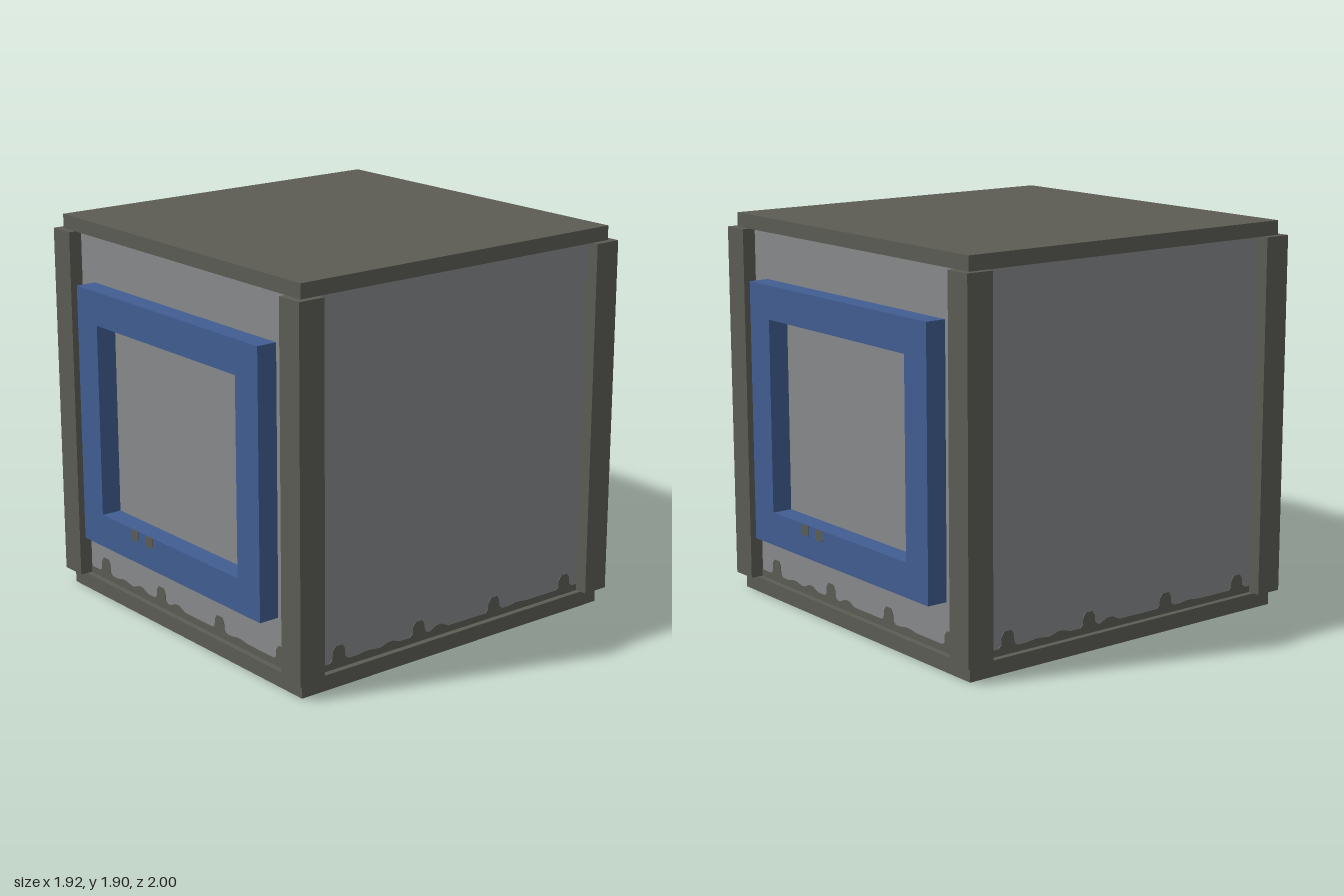
import * as THREE from 'three';

const makeMat = (name, color) => {
  const m = new THREE.MeshStandardMaterial({ color });
  m.name = name;
  return m;
};

export function createModel() {
  const dark = makeMat('darkMetal', 0x5c5c55);
  const panel = makeMat('greyPanel', 0x88898b);
  const blue = makeMat('bluePaint', 0x415d92);
  const model = new THREE.Group();
  model.name = 'crate';

  const add = (parent, name, geo, mat, x = 0, y = 0, z = 0) => {
    const mesh = new THREE.Mesh(geo, mat);
    mesh.name = name;
    mesh.position.set(x, y, z);
    parent.add(mesh);
    return mesh;
  };
  const box = (w, h, d) => new THREE.BoxGeometry(w, h, d);
  const extrude = (shape, depth) =>
    new THREE.ExtrudeGeometry(shape, { depth, bevelEnabled: false });

  // Body, lid and base
  const wall = 0.895;
  add(model, 'body', box(wall * 2, 1.8, wall * 2), panel, 0, 0.955, 0);
  add(model, 'lid', box(1.855, 0.07, 1.855), dark, 0, 1.87, 0);
  add(model, 'base', box(1.855, 0.075, 1.855), dark, 0, 0.0375, 0);

  // Corner posts
  for (const sx of [-1, 1]) {
    for (const sz of [-1, 1]) {
      add(model, 'cornerPost', box(0.138, 1.76, 0.138), dark, sx * 0.893, 0.955, sz * 0.893);
    }
  }

  // Grime line along the bottom of a wall: large rounded blobs and low ripples
  const grimeShape = (ripples) => {
    const s = new THREE.Shape();
    const blobs = [[-0.69, 0.188], [-0.21, 0.181], [0.267, 0.181], [0.738, 0.181]]
      .map(([x, top]) => ({ x, top, blob: true }));
    const low = ripples.map(([x, top]) => ({ x, top, blob: false }));
    const level = 0.108;
    s.moveTo(-0.83, 0.07);
    s.lineTo(-0.83, level);
    for (const { x, top, blob } of [...blobs, ...low].sort((a, b) => a.x - b.x)) {
      const outline = blob
        ? [[-0.055, level], [-0.038, 0.122], [-0.036, top - 0.025], [-0.02, top - 0.003],
          [0.02, top - 0.003], [0.034, top - 0.025], [0.037, 0.122], [0.055, level]]
        : [[-0.06, level], [-0.015, top], [0.015, top], [0.06, level]];
      for (const [dx, y] of outline) s.lineTo(x + dx, y);
    }
    s.lineTo(0.83, level);
    s.lineTo(0.83, 0.07);
    return s;
  };
  const frontGrime = extrude(grimeShape([[-0.53, 0.118], [-0.385, 0.127], [-0.075, 0.128], [0.42, 0.116]]), 0.004);
  const sideGrime = extrude(grimeShape([[-0.52, 0.114], [-0.385, 0.122], [-0.085, 0.129], [0.42, 0.114]]), 0.004);

  // Square window frame
  const frame = new THREE.Shape();
  frame.moveTo(-0.715, 0.313).lineTo(0.715, 0.313).lineTo(0.715, 1.598).lineTo(-0.715, 1.598);
  const hole = new THREE.Path();
  hole.moveTo(-0.55, 0.478).lineTo(-0.55, 1.432).lineTo(0.55, 1.432).lineTo(0.55, 0.478);
  frame.holes.push(hole);
  const frameGeo = extrude(frame, 0.998 - 0.88);

  // Four walls; front and back carry the frame with two small marks
  ['front', 'left', 'back', 'right'].forEach((name, i) => {
    const side = new THREE.Group();
    side.name = name + 'Wall';
    side.rotation.y = (i * Math.PI) / 2;
    model.add(side);
    const framed = i % 2 === 0;
    add(side, 'grime', framed ? frontGrime : sideGrime, dark, 0, 0, wall - 0.001);
    if (framed) {
      add(side, 'windowFrame', frameGeo, blue, 0, 0, 0.88);
      for (const x of [-0.272, -0.15]) {
        add(side, 'frameMark', box(0.058, 0.053, 0.006), dark, x, 0.45, 0.997);
      }
    }
  });

  return model;
}
